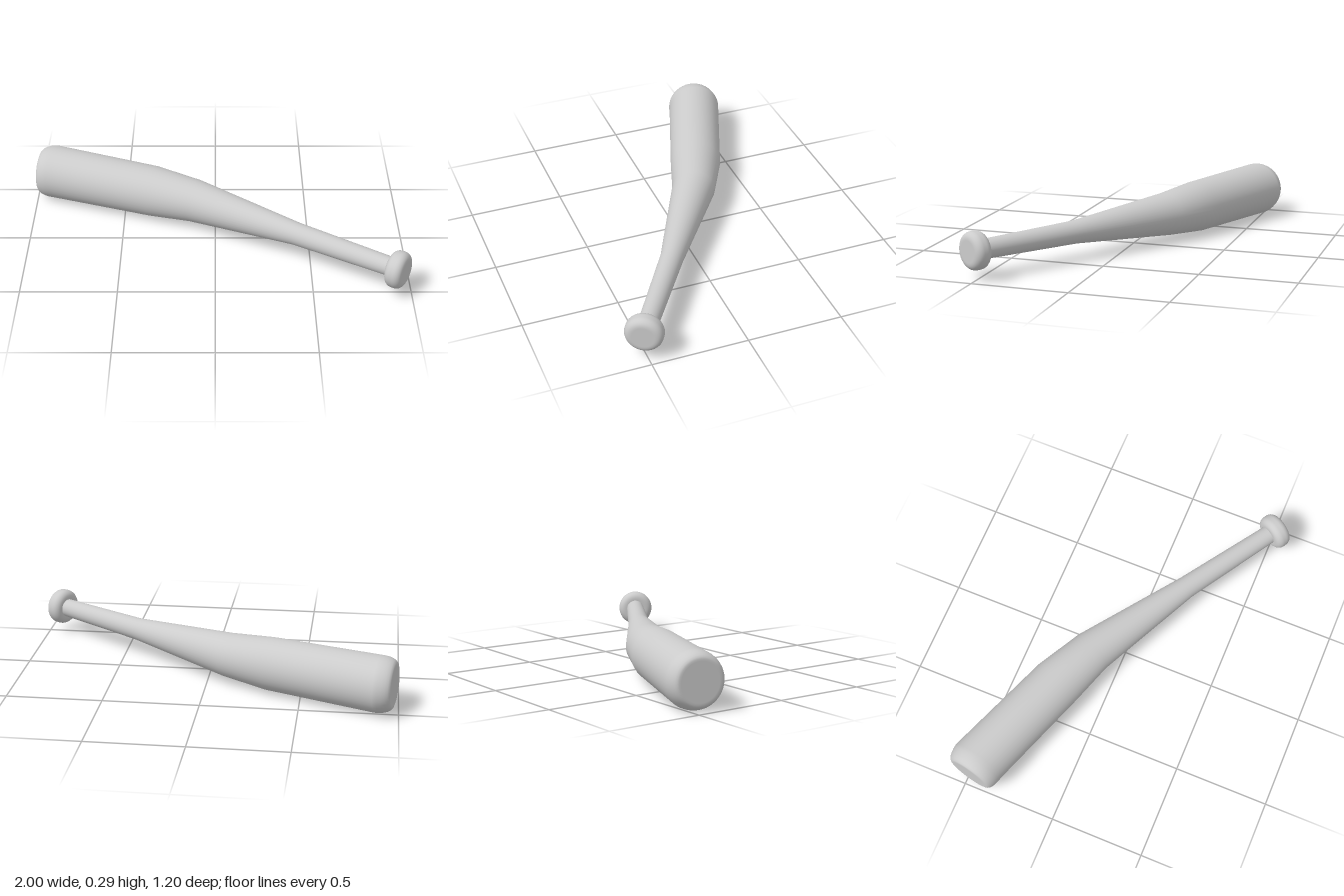
import * as THREE from 'three';

const SIDES = 40;
const HEIGHT = 0.146; // height of the bent centre line

// Joins circular sections [x, z, radius, yaw in degrees] into a smooth tube
function loft(sections) {
  const positions = [], index = [];
  sections.forEach(([x, z, r, yaw], i) => {
    const a = THREE.MathUtils.degToRad(yaw);
    for (let j = 0; j < SIDES; j++) {
      const phi = (j / SIDES) * Math.PI * 2;
      const side = r * Math.cos(phi);
      positions.push(x - side * Math.sin(a), HEIGHT + r * Math.sin(phi), z + side * Math.cos(a));
      if (i === 0) continue;
      const k = (j + 1) % SIDES, p = (i - 1) * SIDES, q = i * SIDES;
      index.push(p + j, q + j, p + k, p + k, q + j, q + k);
    }
  });
  const geometry = new THREE.BufferGeometry();
  geometry.setAttribute('position', new THREE.Float32BufferAttribute(positions, 3));
  geometry.setIndex(index);
  geometry.computeVertexNormals();
  return geometry;
}

// Disc with rounded rims, axis along y
function roundedDisc(radius, half, fillet) {
  const points = [new THREE.Vector2(0, -half), new THREE.Vector2((radius - fillet) * 0.9, -half)];
  for (const end of [-1, 1]) {
    for (let k = 0; k <= 6; k++) {
      const t = (end < 0 ? k / 6 - 1 : k / 6) * Math.PI / 2;
      points.push(new THREE.Vector2(
        radius - fillet + fillet * Math.cos(t),
        end * (half - fillet) + fillet * Math.sin(t)));
    }
  }
  points.push(new THREE.Vector2((radius - fillet) * 0.9, half), new THREE.Vector2(0, half));
  return new THREE.LatheGeometry(points, SIDES);
}

export function createModel() {
  const group = new THREE.Group();
  group.name = 'bentBat';
  const material = new THREE.MeshStandardMaterial({ color: 0xcccccc });

  // Flat end of the barrel and its rounded rim
  const sections = [[-0.976, -0.472, 0, 12], [-0.976, -0.472, 0.1, 12]];
  for (let k = 6; k >= 0; k--) {
    const t = (k / 6) * Math.PI / 2;
    sections.push([-0.893 - 0.083 * Math.sin(t), -0.457 - 0.015 * Math.sin(t),
      0.11 + 0.036 * Math.cos(t), 12]);
  }
  // Barrel, bent shoulder and handle
  sections.push(
    [-0.34, -0.249, 0.138, 18],
    [-0.11, -0.147, 0.116, 26],
    [0.425, 0.18, 0.06, 32],
    [0.92, 0.503, 0.049, 32]);
  const body = new THREE.Mesh(loft(sections), material);
  body.name = 'barrelAndHandle';
  group.add(body);

  // Knob at the end of the handle
  const knobGeometry = roundedDisc(0.097, 0.045, 0.036);
  knobGeometry.rotateZ(-Math.PI / 2);
  knobGeometry.rotateY(THREE.MathUtils.degToRad(-31));
  const knob = new THREE.Mesh(knobGeometry, material);
  knob.name = 'knob';
  knob.position.set(0.923, HEIGHT, 0.508);
  group.add(knob);

  return group;
}
